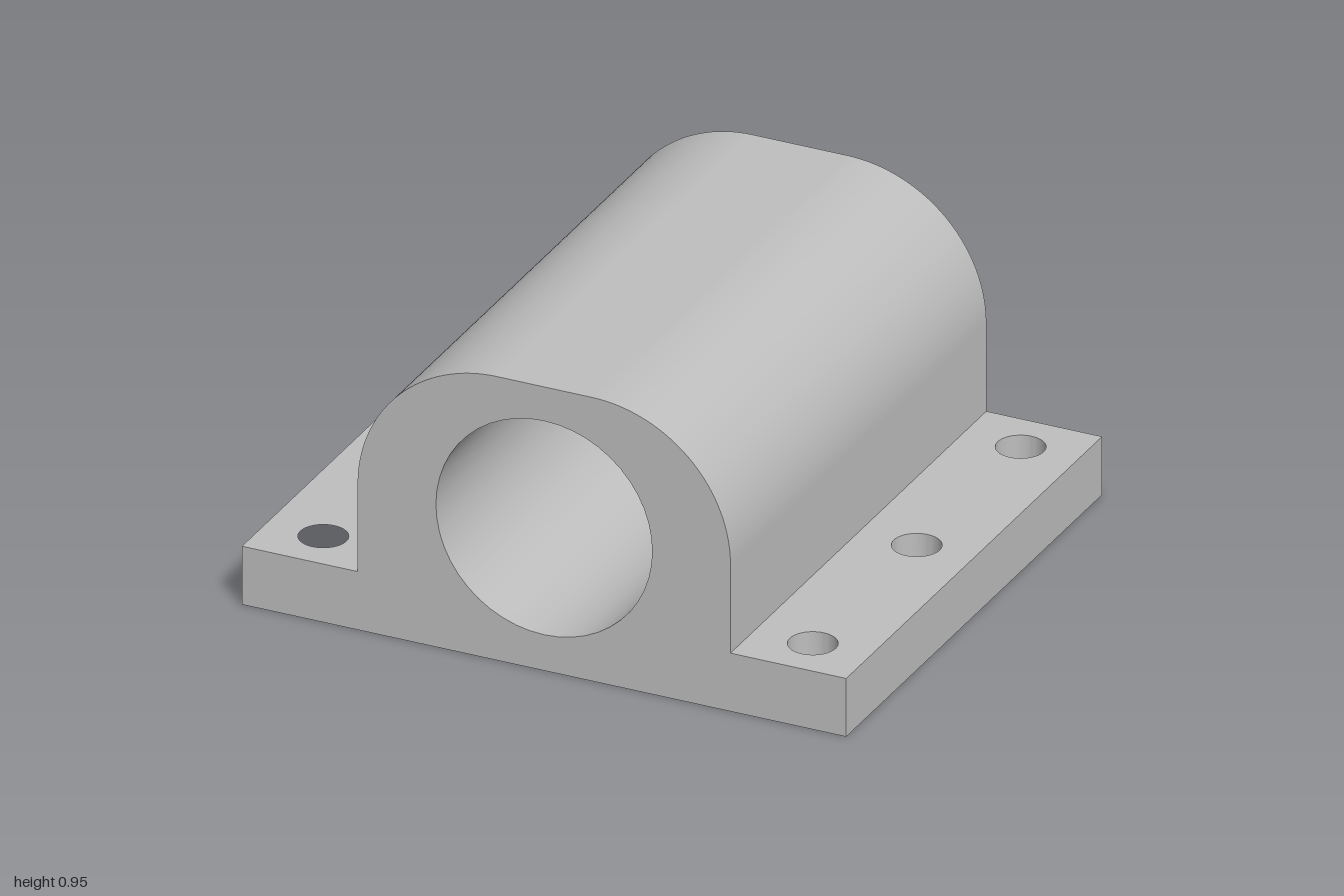
import * as THREE from 'three';
import { toCreasedNormals } from 'three/addons/utils/BufferGeometryUtils.js';

const HALF_LENGTH = 0.88;
const STEP_Z = -0.36;      // where the wide bore meets the narrow one
const HALF_BODY = 0.617;
const TOP = 0.95;
const CORNER = 0.46;
const BORE_Y = 0.478;
const FOOT_HEIGHT = 0.195;

function addHole(shape, x, y, radius) {
  const hole = new THREE.Path();
  hole.absarc(x, y, radius, 0, Math.PI * 2, true);
  shape.holes.push(hole);
}

function extrude(shape, depth) {
  const geometry = new THREE.ExtrudeGeometry(shape, { depth, bevelEnabled: false, curveSegments: 24 });
  return toCreasedNormals(geometry, 0.5);
}

// Round-shouldered housing section with a bore through it
function housingSection(name, z0, z1, boreRadius, material) {
  const shape = new THREE.Shape();
  shape.moveTo(-HALF_BODY, 0);
  shape.lineTo(HALF_BODY, 0);
  shape.lineTo(HALF_BODY, TOP - CORNER);
  shape.absarc(HALF_BODY - CORNER, TOP - CORNER, CORNER, 0, Math.PI / 2, false);
  shape.lineTo(CORNER - HALF_BODY, TOP);
  shape.absarc(CORNER - HALF_BODY, TOP - CORNER, CORNER, Math.PI / 2, Math.PI, false);
  shape.closePath();
  addHole(shape, 0, BORE_Y, boreRadius);
  const mesh = new THREE.Mesh(extrude(shape, z1 - z0), material);
  mesh.position.z = z0;
  mesh.name = name;
  return mesh;
}

// Flat mounting foot with three bolt holes
function mountingFoot(name, side, material) {
  const shape = new THREE.Shape();
  shape.moveTo(side * HALF_BODY, -HALF_LENGTH);
  shape.lineTo(side, -HALF_LENGTH);
  shape.lineTo(side, HALF_LENGTH);
  shape.lineTo(side * HALF_BODY, HALF_LENGTH);
  shape.closePath();
  for (const z of [-0.715, 0, 0.715]) addHole(shape, side * 0.81, z, 0.076);
  const geometry = extrude(shape, FOOT_HEIGHT);
  geometry.rotateX(-Math.PI / 2);
  const mesh = new THREE.Mesh(geometry, material);
  mesh.name = name;
  return mesh;
}

export function createModel() {
  const steel = new THREE.MeshStandardMaterial({ color: 0xbebebe });
  steel.name = 'light grey metal';

  const model = new THREE.Group();
  model.name = 'bearingBlock';
  model.add(
    housingSection('frontHousing', STEP_Z, HALF_LENGTH, 0.358, steel),
    housingSection('backHousing', -HALF_LENGTH, STEP_Z, 0.25, steel),
    mountingFoot('leftFoot', 1, steel),
    mountingFoot('rightFoot', -1, steel),
  );
  return model;
}
